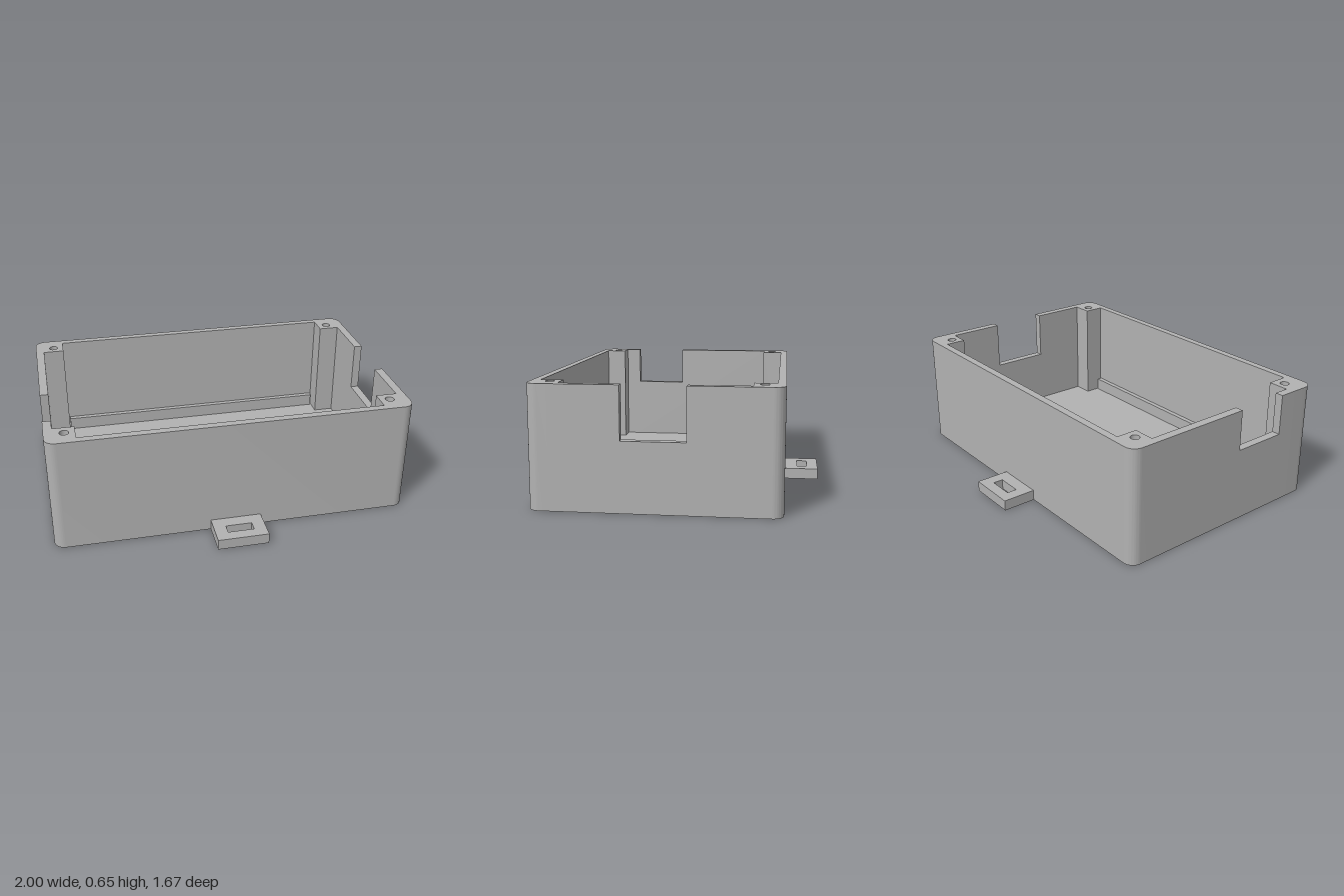
import * as THREE from 'three';
import { toCreasedNormals } from 'three/addons/utils/BufferGeometryUtils.js';

const HX = 1, HZ = 0.647, H = 0.65;      // outer half sizes and height
const IX = 0.953, IZ = 0.605;            // inner cavity half sizes
const PX = 0.835, PZ = 0.487;            // inner corners of the screw posts
const R = 0.06, FLOOR = 0.045;

const polygon = (points) => new THREE.Shape(points.map(([x, y]) => new THREE.Vector2(x, y)));

function extrude(shape, depth) {
  const g = new THREE.ExtrudeGeometry(shape, { depth, bevelEnabled: false, curveSegments: 10 });
  return toCreasedNormals(g, 0.6);
}

// Plan shape (x, -z) raised along y
const raise = (shape, height) => extrude(shape, height).rotateX(-Math.PI / 2);

export function createModel() {
  const model = new THREE.Group();
  model.name = 'enclosureBase';
  const grey = new THREE.MeshStandardMaterial({ color: 0xb2b2b2 });
  grey.name = 'grey plastic';

  const add = (parent, name, geometry) => {
    const mesh = new THREE.Mesh(geometry, grey);
    mesh.name = name;
    parent.add(mesh);
    return mesh;
  };

  // Long wall with rounded corners and two drilled screw posts
  const wall = new THREE.Shape();
  wall.moveTo(HX, PZ);
  wall.lineTo(HX, HZ - R);
  wall.absarc(HX - R, HZ - R, R, 0, Math.PI / 2);
  wall.lineTo(-HX + R, HZ);
  wall.absarc(-HX + R, HZ - R, R, Math.PI / 2, Math.PI);
  wall.lineTo(-HX, PZ);
  wall.lineTo(-PX, PZ);
  wall.lineTo(-PX, IZ);
  wall.lineTo(PX, IZ);
  wall.lineTo(PX, PZ);
  for (const s of [-1, 1]) {
    const hole = new THREE.Path();
    hole.absarc(s * 0.893, 0.542, 0.025, 0, Math.PI * 2, true);
    wall.holes.push(hole);
  }

  // Mounting tab with a slot
  const tab = polygon([[-0.142, HZ], [0.142, HZ], [0.142, 0.837], [-0.142, 0.837]]);
  tab.holes.push(polygon([[-0.073, 0.718], [-0.073, 0.775], [0.073, 0.775], [0.073, 0.718]]));

  // Back half, then the same turned round for the front
  for (const name of ['back', 'front']) {
    const half = new THREE.Group();
    half.name = name + 'Half';
    half.rotation.y = name === 'front' ? Math.PI : 0;
    model.add(half);
    add(half, name + 'Wall', raise(wall, H));
    add(half, name + 'Tab', raise(tab, 0.06));
    // Low rail along the foot of the wall
    add(half, name + 'Rail', new THREE.BoxGeometry(1.656, 0.12 - FLOOR, 0.03))
      .position.set(0, (0.12 + FLOOR) / 2, -IZ + 0.015);
    // Closed bottoms of the screw holes
    for (const s of [-1, 1]) {
      add(half, name + 'ScrewHoleBottom', new THREE.CylinderGeometry(0.025, 0.025, 0.3, 20))
        .position.set(s * 0.893, 0.15, -0.542);
    }
  }

  // End walls, each with a cable notch from z0 to z1 above height y
  const ends = [
    { name: 'leftEndWall', x: IX, z0: -0.167, z1: 0.167, y: 0.37 },
    { name: 'rightEndWall', x: -HX, z0: 0.092, z1: 0.4, y: 0.42 },
  ];
  for (const { name, x, z0, z1, y } of ends) {
    const side = polygon([
      [-PZ, 0], [PZ, 0], [PZ, H], [-z0, H], [-z0, y], [-z1, y], [-z1, H], [-PZ, H],
    ]);
    add(model, name, extrude(side, HX - IX).rotateY(Math.PI / 2)).position.x = x;
  }

  // Floor, cut out round the posts
  add(model, 'floor', raise(polygon([
    [IX, -PZ], [IX, PZ], [PX, PZ], [PX, IZ], [-PX, IZ], [-PX, PZ],
    [-IX, PZ], [-IX, -PZ], [-PX, -PZ], [-PX, -IZ], [PX, -IZ], [PX, -PZ],
  ]), FLOOR));

  return model;
}
